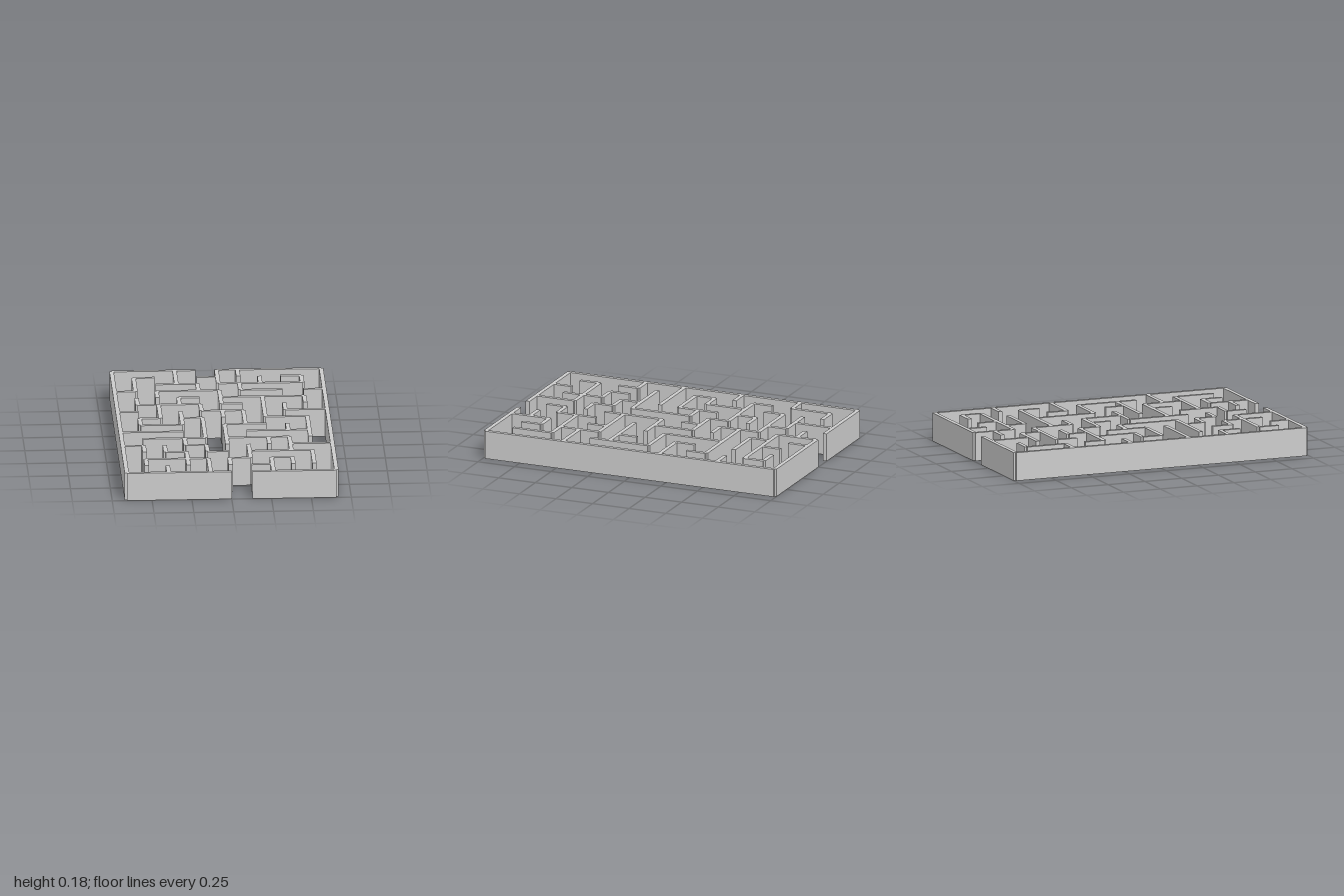
import * as THREE from 'three';

const COLS = 10, ROWS = 15;
const THICK = 0.027, HEIGHT = 0.18;
const CELL = (2 - THICK) / ROWS;

// Walls along x: for each grid line from back to front, [start, end] columns
const rowWalls = [
  [[0, 4], [5, 10]],
  [[1, 2], [4, 5], [8, 9]],
  [[2, 4], [5, 9]],
  [[0, 1], [2, 5], [6, 8], [9, 10]],
  [[3, 4], [5, 9]],
  [[1, 4], [5, 6]],
  [[0, 1], [4, 6], [8, 10]],
  [[1, 2], [3, 4], [7, 9]],
  [[1, 3], [5, 7]],
  [[0, 3], [6, 9]],
  [[1, 4], [5, 8]],
  [[0, 1], [3, 4], [8, 10]],
  [[2, 3], [4, 5], [6, 9]],
  [[1, 4], [5, 6], [7, 8]],
  [[6, 7]],
  [[0, 5], [6, 10]],
];

// Walls along z: for each grid line from -x to +x, [start, end] rows
const columnWalls = [
  [[0, 15]],
  [[1, 3], [4, 5], [7, 8], [11, 12], [13, 14]],
  [[3, 4], [5, 7], [11, 12], [14, 15]],
  [[0, 2], [4, 5], [6, 8], [10, 11], [12, 14]],
  [[2, 3], [5, 6], [7, 10], [11, 12], [13, 15]],
  [[0, 2], [3, 5], [6, 7], [8, 11], [13, 14]],
  [[0, 1], [2, 3], [6, 8], [11, 13]],
  [[1, 2], [4, 7], [10, 11], [13, 15]],
  [[5, 6], [8, 9], [10, 12], [13, 14]],
  [[1, 2], [4, 5], [7, 10], [12, 14]],
  [[0, 15]],
];

export function createModel() {
  const maze = new THREE.Group();
  maze.name = 'maze';
  const material = new THREE.MeshStandardMaterial({ color: 0xcccccc });

  // Each wall runs exactly from grid node to grid node
  const addWalls = (lines, alongX) => {
    const last = lines.length - 1;
    lines.forEach((spans, line) => spans.forEach(([a, b]) => {
      const length = (b - a) * CELL;
      const mid = (a + b) / 2;
      const wall = new THREE.Mesh(
        new THREE.BoxGeometry(alongX ? length : THICK, HEIGHT, alongX ? THICK : length),
        material
      );
      const column = alongX ? mid : line;
      const row = alongX ? line : mid;
      wall.position.set((column - COLS / 2) * CELL, HEIGHT / 2, (row - ROWS / 2) * CELL);
      wall.name = line === 0 || line === last ? 'outerWall' : 'innerWall';
      maze.add(wall);
    }));
  };

  addWalls(rowWalls, true);
  addWalls(columnWalls, false);
  return maze;
}
